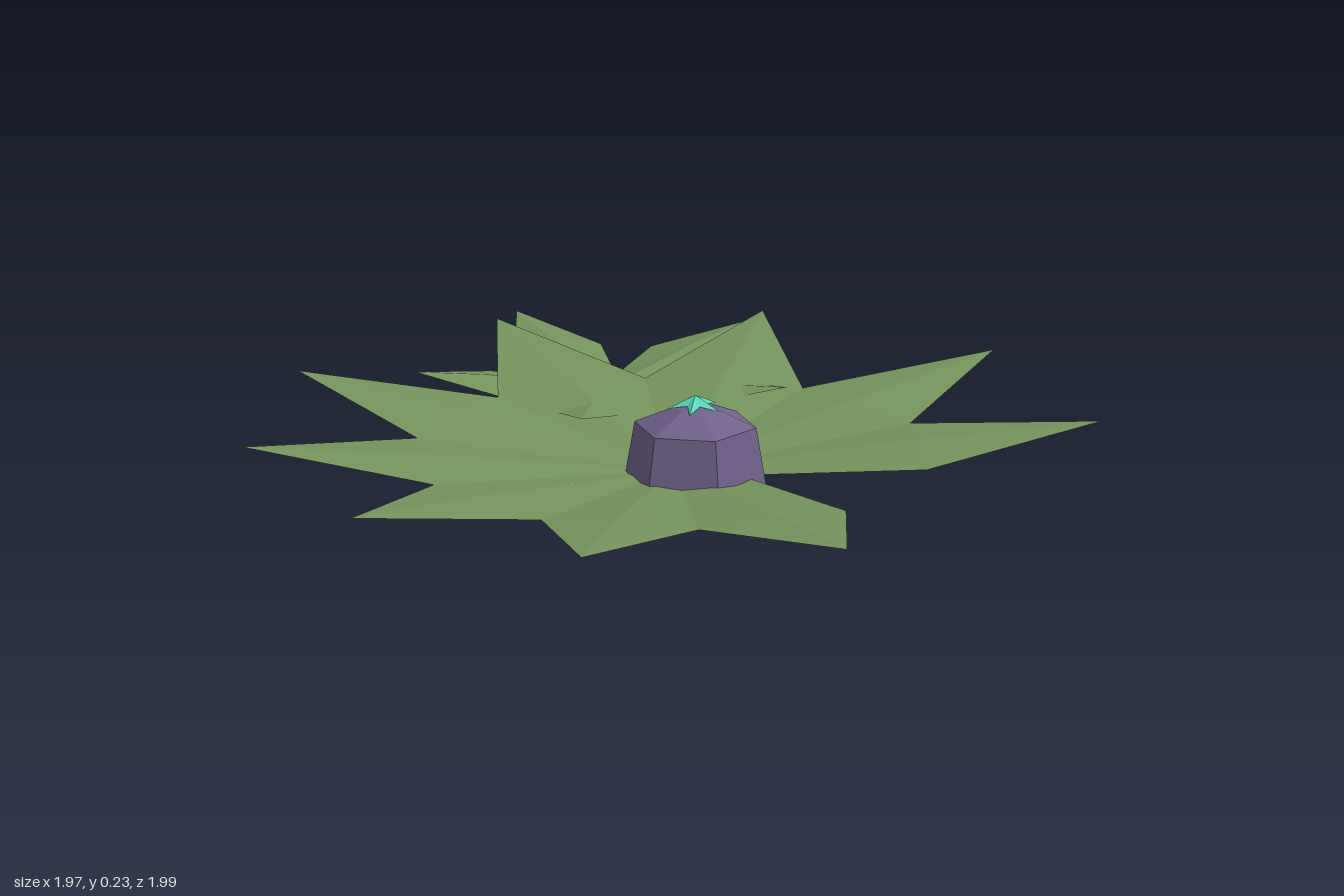
import * as THREE from 'three';

const rad = THREE.MathUtils.degToRad;
const flat = (name, color, side = THREE.FrontSide) => {
  const m = new THREE.MeshStandardMaterial({ color, side, flatShading: true });
  m.name = name;
  return m;
};

// point from radius, angle in degrees (counter-clockwise seen from above) and height
const polar = ([r, deg, y]) => new THREE.Vector3(r * Math.cos(rad(deg)), y, -r * Math.sin(rad(deg)));

// Rosette of creased lobes: each half lobe is a fan around a point on its ridge.
// The outline runs from the hub to the tip as [radius, angle offset, height].
function rosette(lobes) {
  const pos = [];
  for (const { angle, ridge, outline } of lobes) {
    for (const s of [1, -1]) {
      const place = ([r, a, y]) => polar([r, angle + s * a, y]);
      const mid = place(ridge), pts = outline.map(place);
      for (let i = 0; i < pts.length - 1; i++) {
        const [a, b] = s > 0 ? [pts[i + 1], pts[i]] : [pts[i], pts[i + 1]];
        for (const v of [mid, a, b]) pos.push(v.x, v.y, v.z);
      }
    }
  }
  const g = new THREE.BufferGeometry();
  g.setAttribute('position', new THREE.Float32BufferAttribute(pos, 3));
  g.computeVertexNormals();
  return g;
}

export function createModel() {
  const group = new THREE.Group();
  const green = flat('leaf green', 0x75945b, THREE.DoubleSide);
  const purple = flat('bud purple', 0x6f6089);
  const teal = flat('star teal', 0x50d8b8, THREE.DoubleSide);
  const add = (name, geometry, material, x, z) => {
    const mesh = new THREE.Mesh(geometry, material);
    mesh.name = name;
    mesh.position.set(x, 0, z);
    group.add(mesh);
  };

  // large leaf: ten lobes, one of them cut back to a notch
  const large = [];
  for (let i = 0; i < 10; i++) {
    const cut = i === 0;
    large.push({
      angle: 18 + i * 36,
      ridge: cut ? [0.1, 0, 0.038] : [0.57, 0, 0.088],
      outline: [[0, 0, 0.03], [0.6, 18, 0.07], cut ? [0.18, 0, 0.046] : [0.995, 0, 0.118]],
    });
  }
  add('largeLeaf', rosette(large), green, 0.037, -0.002);

  // small leaf: five narrow-waisted lobes tucked beneath the large one
  const small = [];
  for (let i = 0; i < 5; i++) {
    small.push({
      angle: 22 + i * 72,
      ridge: [0.28, 0, 0.074],
      outline: [[0, 0, 0.03], [0.11, 36, 0.026], [0.28, 24, 0.048], [0.455, 0, 0.09]],
    });
  }
  add('smallLeaf', rosette(small), green, -0.55, -0.335);

  // six-sided bud with a shallow cap
  const profile = [[0, 0], [0.17, 0], [0.143, 0.16], [0.05, 0.2], [0, 0.207]];
  const bud = new THREE.LatheGeometry(profile.map(([x, y]) => new THREE.Vector2(x, y)), 6);
  bud.rotateY(rad(7));
  add('bud', bud, purple, 0.12, 0);

  // five-pointed star on the cap
  const star = [];
  for (let i = 0; i < 5; i++) {
    star.push({
      angle: 18 + i * 72,
      ridge: [0.03, 0, 0.217],
      outline: [[0, 0, 0.231], [0.025, 36, 0.209], [0.065, 0, 0.2]],
    });
  }
  add('star', rosette(star), teal, 0.12, 0);

  return group;
}
